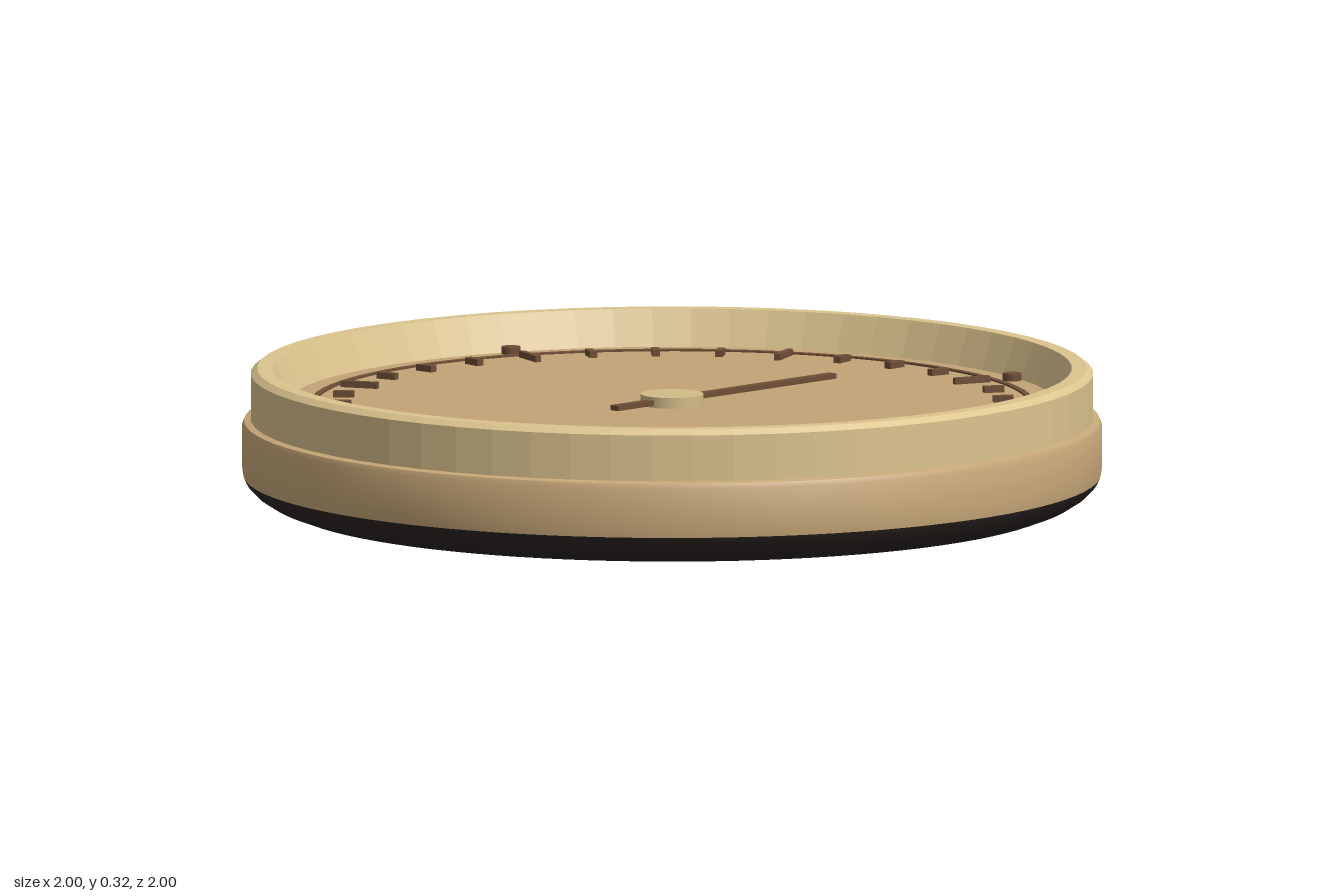
import * as THREE from 'three';
import { toCreasedNormals } from 'three/addons/utils/BufferGeometryUtils.js';

const FLOOR = 0.235; // height of the dial face

export function createModel() {
  const root = new THREE.Group();
  const mat = (color, flatShading = false) =>
    new THREE.MeshStandardMaterial({ color, flatShading });
  const black = mat(0x2a2522), tan = mat(0xc8a878), cream = mat(0xdcc48e, true);
  const face = mat(0xc4a476), brown = mat(0x6e4e36), brass = mat(0xd2bc88);

  const add = (name, geometry, material, parent = root) => {
    const mesh = new THREE.Mesh(geometry, material);
    mesh.name = name;
    parent.add(mesh);
    return mesh;
  };
  const lathe = (profile, segments, crease = 0.4) => toCreasedNormals(
    new THREE.LatheGeometry(profile.map(([r, y]) => new THREE.Vector2(r, y)), segments), crease);

  // Rounded dark base and the tan case band above it
  add('base', lathe([[0, 0], [0.9, 0], [0.94, 0.015], [0.97, 0.034], [0.99, 0.055], [0.997, 0.07]], 96), black);
  add('caseBand', lathe([[0.997, 0.07], [1, 0.09], [1, 0.185], [0.995, 0.197], [0.97, 0.203]], 96), tan);

  // Faceted bezel with a bevelled lip and a sloping inner wall
  add('bezel', lathe([[0.98, 0.19], [0.98, 0.308], [0.965, 0.32], [0.93, 0.32], [0.898, FLOOR]], 64), cream);

  // Dial face and its printed ring
  add('dialFace', new THREE.CircleGeometry(0.905, 96).rotateX(-Math.PI / 2), face).position.y = FLOOR;
  add('dialRing', lathe([[0.843, FLOOR], [0.843, FLOOR + 0.004], [0.828, FLOOR + 0.004], [0.828, FLOOR]], 96), brown);

  // Tick marks: every fourth one is longer
  const ticks = new THREE.Group();
  ticks.name = 'tickMarks';
  root.add(ticks);
  for (let i = 0; i < 32; i++) {
    const long = i % 4 === 0, a = (i / 32) * Math.PI * 2;
    const tick = add(long ? 'longTick' : 'shortTick',
      new THREE.BoxGeometry(long ? 0.09 : 0.048, 0.016, long ? 0.014 : 0.018), brown, ticks);
    tick.position.set(Math.cos(a) * 0.771, FLOOR + 0.007, -Math.sin(a) * 0.771);
    tick.rotation.y = a;
  }

  // Four studs at the quarter points
  for (let i = 0; i < 4; i++) {
    const a = i * Math.PI / 2;
    add('quarterStud', new THREE.CylinderGeometry(0.022, 0.022, 0.018, 16), brown)
      .position.set(Math.cos(a) * 0.875, FLOOR + 0.008, -Math.sin(a) * 0.875);
  }

  // Pointer through the centre, longer on one side, under a round hub
  const pointer = add('pointer', new THREE.BoxGeometry(0.72, 0.012, 0.025).translate(0.17, 0, 0), brown);
  pointer.position.y = FLOOR + 0.011;
  pointer.rotation.y = 0.345;
  add('hub', toCreasedNormals(new THREE.CylinderGeometry(0.073, 0.073, 0.025, 32), 0.5), brass)
    .position.y = FLOOR + 0.0125;

  return root;
}
